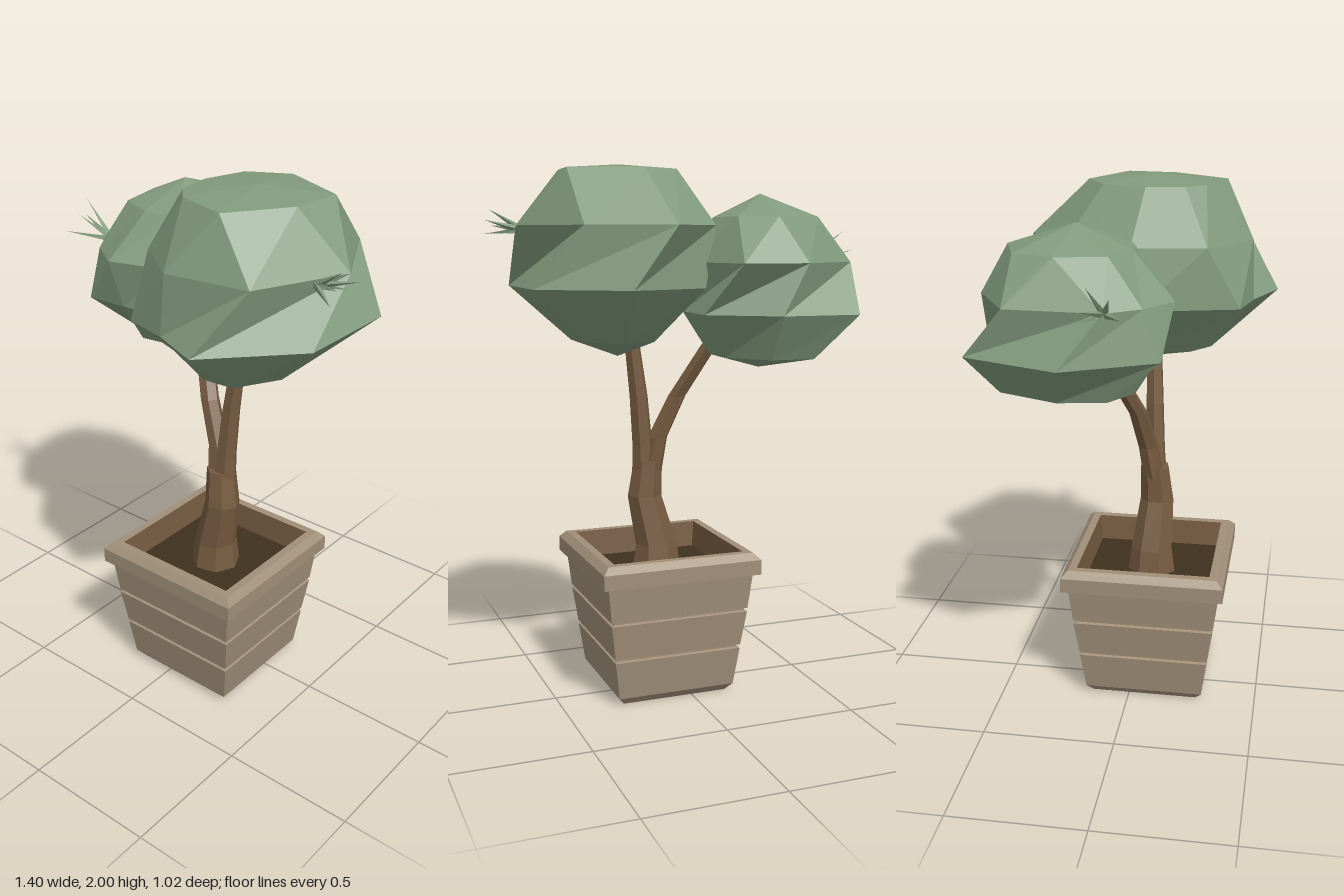
import * as THREE from 'three';

const mat = (name, color) => {
  const m = new THREE.MeshStandardMaterial({ color, flatShading: true });
  m.name = name;
  return m;
};

// Give every face its own normal
function flat(geometry) {
  const g = geometry.index ? geometry.toNonIndexed() : geometry;
  g.computeVertexNormals();
  return g;
}

// Skin a stack of equal rings, closed with a point at each end
function loft(rings, bottom, top) {
  const pos = [];
  const tri = (...pts) => pts.forEach((p) => pos.push(p.x, p.y, p.z));
  const n = rings[0].length;
  const last = rings[rings.length - 1];
  for (let i = 0; i < n; i++) {
    const j = (i + 1) % n;
    tri(bottom, rings[0][j], rings[0][i]);
    for (let k = 0; k < rings.length - 1; k++) {
      const lo = rings[k], hi = rings[k + 1];
      tri(lo[i], lo[j], hi[j]);
      tri(lo[i], hi[j], hi[i]);
    }
    tri(last[i], last[j], top);
  }
  const g = new THREE.BufferGeometry();
  g.setAttribute('position', new THREE.Float32BufferAttribute(pos, 3));
  return flat(g);
}

// Limb from stations [x, y, z, radius]
function limb(stations, sides = 7) {
  const rings = stations.map(([x, y, z, r]) =>
    Array.from({ length: sides }, (_, i) => {
      const a = (-i / sides) * Math.PI * 2;
      return new THREE.Vector3(x + r * Math.cos(a), y, z + r * Math.sin(a));
    }));
  const end = (s) => new THREE.Vector3(s[0], s[1], s[2]);
  return loft(rings, end(stations[0]), end(stations[stations.length - 1]));
}

// Faceted crown from levels { y, p: [x, z, x, z, ...] }
function crown(levels, bottom, top) {
  const rings = levels.map(({ y, p }) =>
    Array.from({ length: p.length / 2 }, (_, i) => new THREE.Vector3(p[2 * i], y, p[2 * i + 1])));
  return loft(rings, new THREE.Vector3(...bottom), new THREE.Vector3(...top));
}

// Square shell from a [halfWidth, y] profile
function squareShell(profile) {
  const pts = profile.map(([h, y]) => new THREE.Vector2(h * Math.SQRT2, y));
  return flat(new THREE.LatheGeometry(pts, 4, Math.PI / 4));
}

export function createModel() {
  const model = new THREE.Group();
  model.name = 'pottedTree';
  const clay = mat('clay', 0xa08f78);
  const wood = mat('wood', 0x775c41);
  const soilMat = mat('soil', 0x40311f);
  const leaf = mat('foliage', 0x819a7c);
  const add = (name, geometry, material, parent = model) => {
    const mesh = new THREE.Mesh(geometry, material);
    mesh.name = name;
    parent.add(mesh);
    return mesh;
  };

  // Pot: foot, three tapered boards with grooves, chamfered rim
  const pot = new THREE.Group();
  pot.name = 'pot';
  pot.position.set(0.067, 0, 0.061);
  model.add(pot);
  add('potBody', squareShell([
    [0, 0], [0.205, 0], [0.23, 0.03],
    [0.25, 0.178], [0.24, 0.182], [0.24, 0.188], [0.251, 0.192],
    [0.27, 0.328], [0.26, 0.332], [0.26, 0.338], [0.271, 0.342],
    [0.286, 0.48], [0.31, 0.48], [0.31, 0.537], [0.285, 0.562], [0.255, 0.562],
  ]), clay, pot);
  add('potLining', squareShell([[0.255, 0.562], [0.245, 0.455]]), wood, pot);
  const soil = new THREE.PlaneGeometry(0.495, 0.495).rotateX(-Math.PI / 2);
  add('soil', flat(soil), soilMat, pot).position.y = 0.46;

  // Trunk and its two branches
  add('trunk', limb([
    [0.068, 0.44, 0.062, 0.098], [0.07, 0.56, 0.062, 0.082],
    [0.112, 0.75, 0.076, 0.067], [0.1, 0.89, 0.068, 0.056],
  ]), wood);
  add('leftBranch', limb([
    [0.088, 0.85, 0.065, 0.045], [0.068, 0.98, 0.045, 0.04],
    [0.0, 1.14, 0.015, 0.036], [-0.1, 1.34, -0.07, 0.034], [-0.15, 1.42, -0.1, 0.03],
  ], 6), wood);
  add('rightBranch', limb([
    [0.118, 0.85, 0.068, 0.045], [0.122, 0.95, 0.065, 0.04],
    [0.138, 1.14, 0.06, 0.036], [0.163, 1.33, 0.055, 0.03], [0.18, 1.45, 0.05, 0.028],
  ], 6), wood);

  // Crowns
  add('leftCrown', crown([
    { y: 1.31, p: [-0.3, 0.05, -0.17, 0.03, -0.08, -0.12, -0.08, -0.27, -0.2, -0.41, -0.36, -0.42, -0.45, -0.2, -0.42, -0.03] },
    { y: 1.47, p: [-0.3, 0.15, -0.1, 0.13, 0.02, -0.1, 0.03, -0.34, -0.2, -0.5, -0.49, -0.51, -0.62, -0.16, -0.46, 0.16] },
    { y: 1.65, p: [-0.33, 0.19, -0.1, 0.12, 0.03, -0.15, -0.06, -0.48, -0.3, -0.49, -0.53, -0.36, -0.54, -0.02, -0.46, 0.1] },
    { y: 1.81, p: [-0.28, 0.04, -0.15, 0.02, -0.08, -0.15, -0.1, -0.33, -0.22, -0.41, -0.4, -0.35, -0.45, -0.2, -0.42, -0.02] },
  ], [-0.26, 1.26, -0.16], [-0.26, 1.895, -0.16]), leaf);
  add('rightCrown', crown([
    { y: 1.36, p: [0.18, 0.27, 0.3, 0.26, 0.39, 0.1, 0.37, -0.06, 0.25, -0.16, 0.13, -0.1, 0.07, 0.05, 0.09, 0.2] },
    { y: 1.56, p: [0.13, 0.43, 0.32, 0.51, 0.595, 0.22, 0.6, -0.18, 0.3, -0.38, 0, -0.28, -0.13, 0.03, -0.04, 0.39] },
    { y: 1.78, p: [0.14, 0.42, 0.45, 0.37, 0.605, 0.04, 0.44, -0.27, 0.15, -0.41, -0.05, -0.25, -0.1, 0, -0.06, 0.27] },
    { y: 1.98, p: [0.08, 0.25, 0.28, 0.31, 0.43, 0.1, 0.45, -0.09, 0.2, -0.2, 0.05, -0.12, 0, 0.04, 0.02, 0.18] },
  ], [0.23, 1.3, 0.03], [0.22, 2, 0.03]), leaf);

  // Sprigs of pointed leaves, each blade running from the base to a tip
  const sprig = (name, base, tips) => {
    const group = new THREE.Group();
    group.name = name;
    model.add(group);
    const from = new THREE.Vector3(...base);
    for (const t of tips) {
      const dir = new THREE.Vector3(...t).sub(from);
      const len = dir.length();
      const blade = add('blade', flat(new THREE.ConeGeometry(0.014, len, 4).translate(0, len / 2, 0)), leaf, group);
      blade.position.copy(from);
      blade.quaternion.setFromUnitVectors(new THREE.Vector3(0, 1, 0), dir.normalize());
    }
  };
  sprig('leftSprig', [-0.51, 1.64, -0.02], [
    [-0.665, 1.76, -0.05], [-0.7, 1.69, -0.07], [-0.67, 1.66, 0.065],
    [-0.6, 1.63, -0.1], [-0.64, 1.72, 0.02],
  ]);
  sprig('rightSprig', [0.555, 1.765, 0.16], [
    [0.7, 1.8, 0.13], [0.67, 1.84, 0.19], [0.675, 1.75, 0.26],
    [0.63, 1.75, 0.1], [0.66, 1.78, 0.2],
  ]);

  return model;
}
